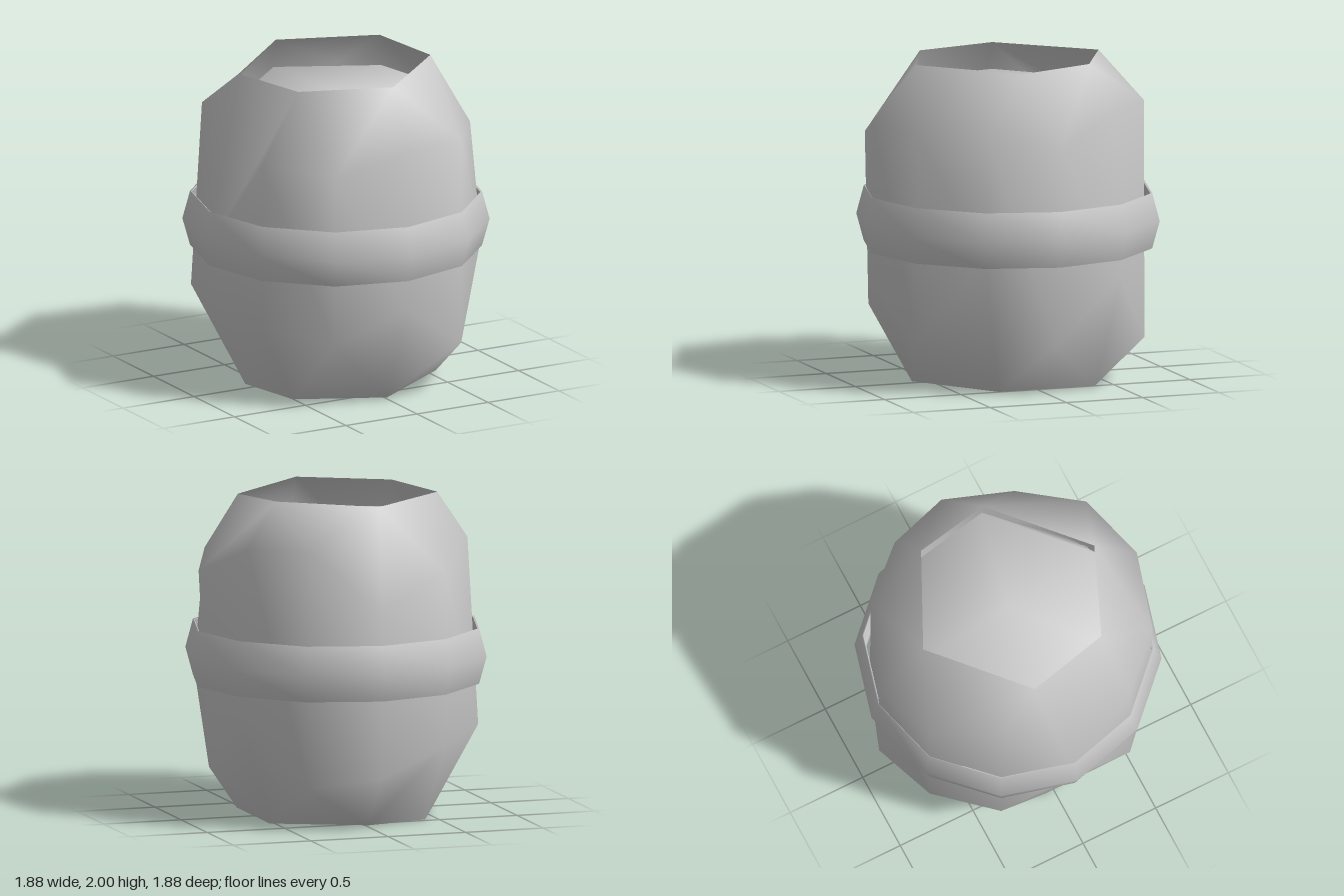
import * as THREE from 'three';
import { mergeVertices } from 'three/addons/utils/BufferGeometryUtils.js';

// Angle around y, starting at +z and turning towards +x
const angleOf = ([x, , z]) => {
  const a = Math.atan2(x, z);
  return a < -0.001 ? a + Math.PI * 2 : a;
};

// Triangles between two closed rings with different numbers of points
function stitch(lower, upper, out) {
  const angle = (ring, i) => angleOf(ring[i % ring.length]) + Math.PI * 2 * Math.floor(i / ring.length);
  const at = (ring, i) => ring[i % ring.length];
  let i = 0, j = 0;
  while (i < lower.length || j < upper.length) {
    const a = angle(lower, i) + angle(lower, i + 1);
    const b = angle(upper, j) + angle(upper, j + 1);
    if (j >= upper.length || (i < lower.length && a <= b)) {
      out.push(...at(lower, i), ...at(lower, i + 1), ...at(upper, j));
      i++;
    } else {
      out.push(...at(lower, i), ...at(upper, j + 1), ...at(upper, j));
      j++;
    }
  }
}

// Smooth surface through a stack of rings, from bottom to top
function skin(rings) {
  const positions = [];
  for (let k = 0; k + 1 < rings.length; k++) stitch(rings[k], rings[k + 1], positions);
  const geometry = new THREE.BufferGeometry();
  geometry.setAttribute('position', new THREE.Float32BufferAttribute(positions, 3));
  const merged = mergeVertices(geometry);
  merged.computeVertexNormals();
  return merged;
}

// Twelve points around y, each given as [height, radius]
const columns = (points) => points.map(([y, r = 0.887], k) => {
  const a = k * Math.PI / 6;
  return [r * Math.sin(a), y, r * Math.cos(a)];
});

// Irregular rims of the two openings
const bottomRim = [
  [0, 0.01, 0.63], [0.55, 0.01, 0.27], [0.55, 0.01, -0.36], [0, 0.01, -0.62],
  [-0.42, 0, -0.46], [-0.61, 0.01, -0.05], [-0.52, 0.01, 0.38],
];
const topRim = [
  [0.05, 1.98, 0.62], [0.59, 1.98, 0.13], [0.5, 2, -0.34],
  [-0.07, 1.98, -0.62], [-0.61, 1.97, -0.13], [-0.49, 1.97, 0.39],
];

export function createModel() {
  const group = new THREE.Group();
  const add = (name, geometry) => {
    const material = new THREE.MeshStandardMaterial({ color: 0xcccccc, side: THREE.DoubleSide });
    const mesh = new THREE.Mesh(geometry, material);
    mesh.name = name;
    group.add(mesh);
  };

  // Open outer wall with uneven shoulders
  const lowerRing = columns([
    [0.63], [0.33], [0.87], [0.32, 0.82], [0.7], [0.27, 0.845],
    [0.34], [0.5], [0.57], [0.94], [0.51], [0.43, 0.865],
  ]);
  const upperRing = columns([
    [1.64], [1.62], [1.61, 0.82], [1.54], [1.72, 0.823], [1.74, 0.842],
    [1.37], [1.58], [1.73, 0.82], [0.94], [1.56], [1.5],
  ]);
  add('shell', skin([bottomRim, lowerRing, upperRing, topRim]));

  // Closed inner core, its ends recessed behind both openings
  const recessed = (rim, y) => rim.map(([x, , z]) => [x * 1.04, y, z * 1.04]);
  const coreRing = (y) => columns(Array(12).fill([y, 0.68]));
  add('core', skin([
    [[0, 0.19, 0]], recessed(bottomRim, 0.19), coreRing(0.5),
    coreRing(1.45), recessed(topRim, 1.8), [[0, 1.8, 0]],
  ]));

  // Rounded band around the middle, with narrow lips turned inwards
  const profile = [[0.882, 0.825], [0.893, 0.82], [0.94, 0.99], [0.893, 1.165], [0.882, 1.16]];
  add('band', new THREE.LatheGeometry(profile.map(([r, y]) => new THREE.Vector2(r, y)), 12));

  return group;
}
